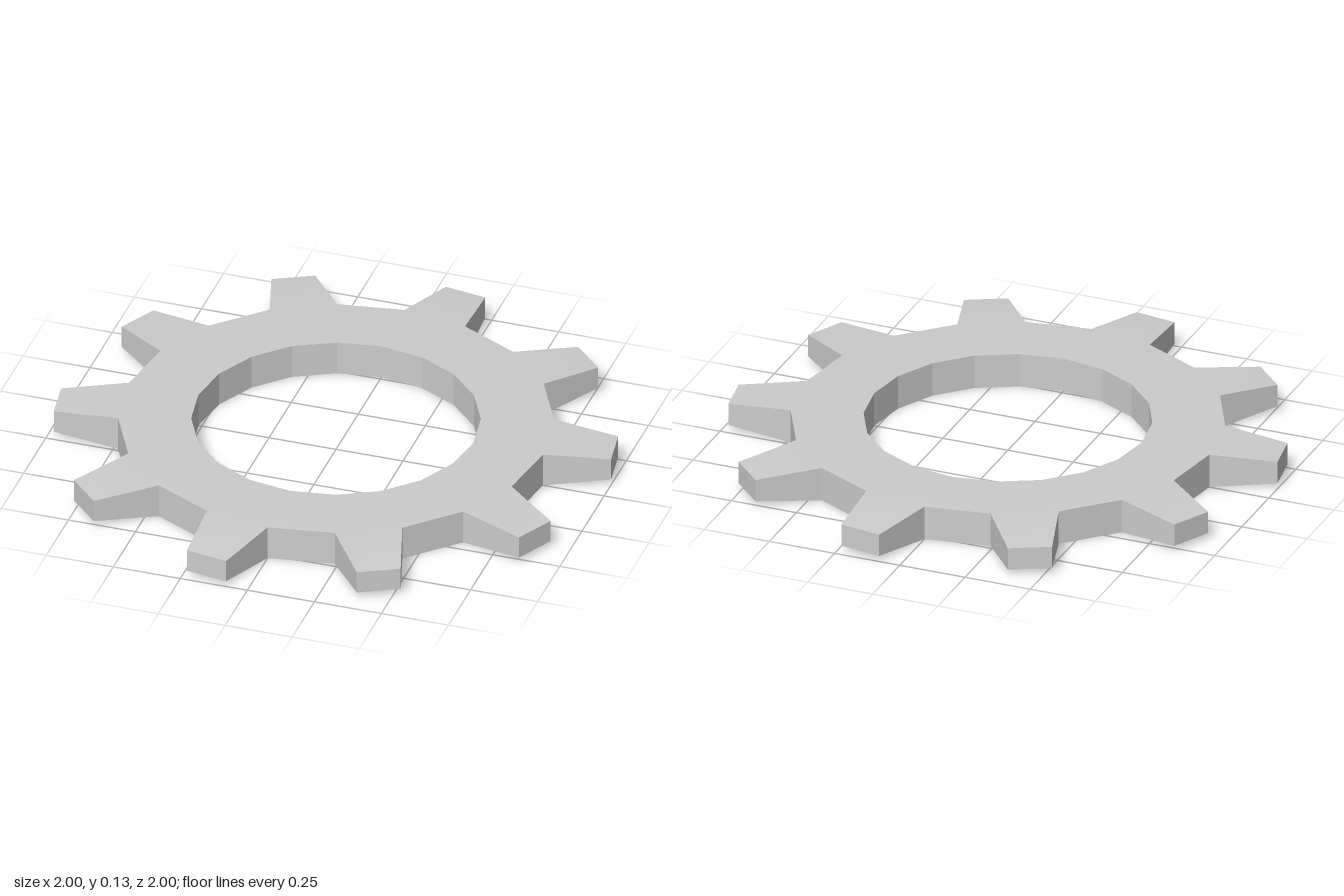
import * as THREE from 'three';
import { toCreasedNormals } from 'three/addons/utils/BufferGeometryUtils.js';

const TEETH = 10;
const STEP = Math.PI / TEETH; // one tooth or one gap
const MID = 0.064; // height of the middle plane
const HOLE = 0.513, ROOT = 0.772, TIP = 1.003;
const HALF = 0.064, TIP_HALF = 0.042; // half thickness at ring and tooth tip

// Point at radius r, angle a (clockwise from the back, seen from above)
const point = (r, a, h) => [r * Math.sin(a), MID + h, -r * Math.cos(a)];

// Quad with corners counter-clockwise seen from outside
function quad(out, a, b, c, d) {
  out.push(...a, ...b, ...c, ...a, ...c, ...d);
}

// Four corners (low start, low end, high end, high start) of a wall
const wall = (r, a0, a1, half) => [
  point(r, a0, -half), point(r, a1, -half), point(r, a1, half), point(r, a0, half),
];

// Top and bottom faces between an inner and an outer wall
function caps(out, n, f) {
  quad(out, n[3], n[2], f[2], f[3]);
  quad(out, f[0], f[1], n[1], n[0]);
}

function createGear() {
  const out = [];
  for (let i = 0; i < TEETH * 2; i++) {
    const a0 = i * STEP, a1 = a0 + STEP;
    const hole = wall(HOLE, a0, a1, HALF);
    const root = wall(ROOT, a0, a1, HALF);

    // Ring segment
    caps(out, hole, root);
    quad(out, hole[0], hole[1], hole[2], hole[3]);

    if (i % 2) {
      // Gap between teeth
      quad(out, root[1], root[0], root[3], root[2]);
    } else {
      // Tooth, tapered in width and thickness
      const tip = wall(TIP, a0 + STEP / 4, a1 - STEP / 4, TIP_HALF);
      caps(out, root, tip);
      quad(out, tip[1], tip[0], tip[3], tip[2]);
      quad(out, tip[0], root[0], root[3], tip[3]);
      quad(out, tip[2], root[2], root[1], tip[1]);
    }
  }
  const geometry = new THREE.BufferGeometry();
  geometry.setAttribute('position', new THREE.Float32BufferAttribute(out, 3));
  return toCreasedNormals(geometry, 0.2);
}

export function createModel() {
  const group = new THREE.Group();
  const gear = new THREE.Mesh(createGear(), new THREE.MeshStandardMaterial({ color: 0xcccccc }));
  gear.name = 'gearWheel';
  group.add(gear);
  return group;
}
